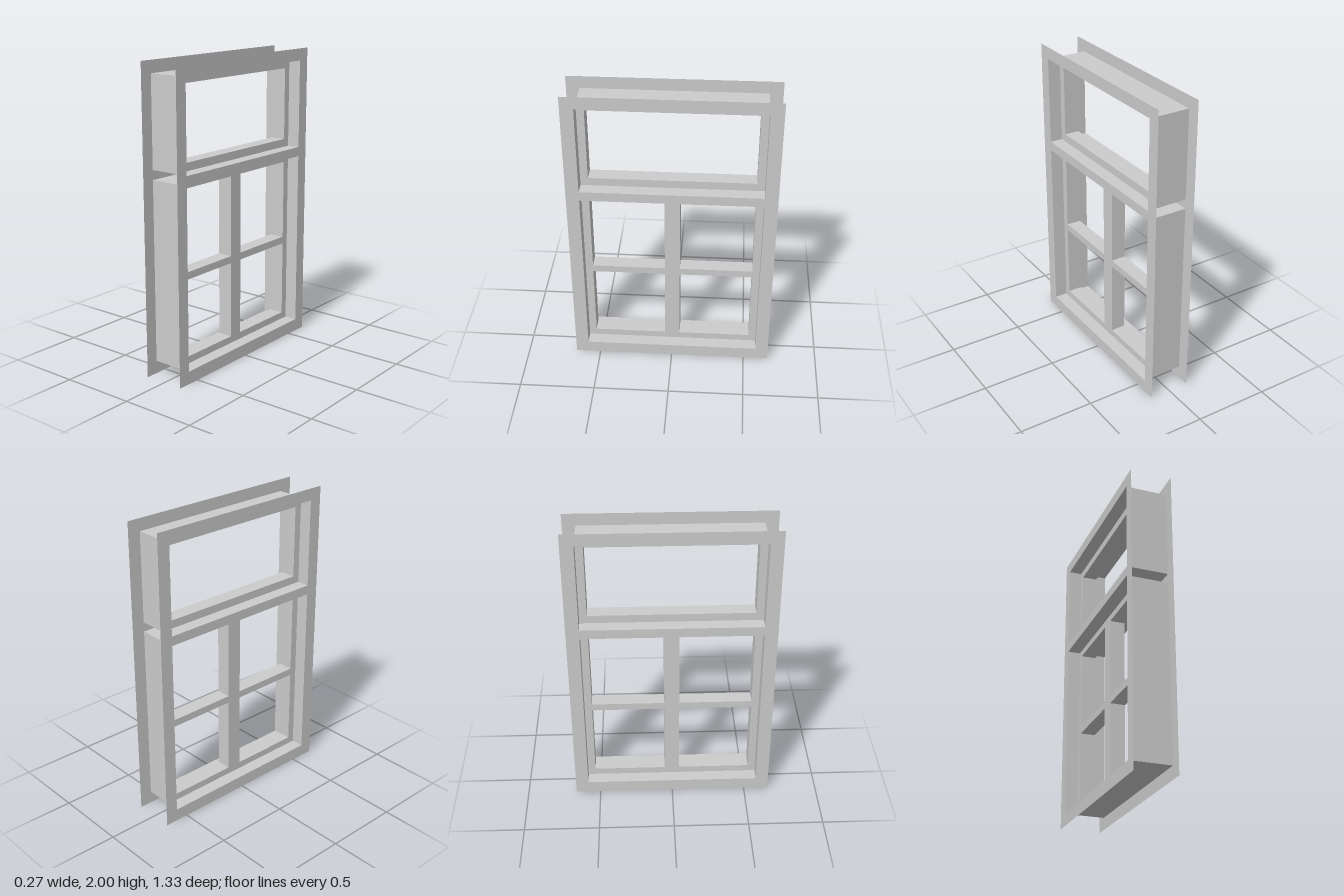
import * as THREE from 'three';

const grey = new THREE.MeshStandardMaterial({ color: 0xcccccc, flatShading: true, side: THREE.DoubleSide });

const DEPTH = 0.273;      // wall depth between the two casings
const SASH_DEPTH = 0.1;   // sash bars, centred in the wall
const HALF = 0.582;       // half width of the openings
const PANE = 0.533;       // half width of the glazed area
const BAR = 0.05;         // half width of the vertical bar

// rectangles are [left, bottom, right, top]
const upper = {
  name: 'upper',
  opening: [-HALF, 1.333, HALF, 1.92],
  panes: [[-PANE, 1.386, PANE, 1.867]],
};
const lower = { name: 'lower', opening: [-HALF, 0.084, HALF, 1.27], panes: [] };
for (const [bottom, top] of [[0.131, 0.644], [0.692, 1.227]]) {
  lower.panes.push([-PANE, bottom, -BAR, top], [BAR, bottom, PANE, top]);
}

function trace(path, [l, b, r, t]) {
  path.moveTo(l, b).lineTo(r, b).lineTo(r, t).lineTo(l, t).closePath();
  return path;
}

function frameShape(outer, holes) {
  const shape = trace(new THREE.Shape(), outer);
  shape.holes = holes.map((h) => trace(new THREE.Path(), h));
  return shape;
}

function addMesh(parent, name, geometry) {
  const mesh = new THREE.Mesh(geometry, grey);
  mesh.name = name;
  parent.add(mesh);
  return mesh;
}

// four thin walls lining an opening
function makeLining(name, [l, b, r, t]) {
  const lining = new THREE.Group();
  lining.name = name;
  for (const [side, y] of [['bottom', b], ['top', t]]) {
    const geometry = new THREE.PlaneGeometry(r - l, DEPTH).rotateX(-Math.PI / 2);
    addMesh(lining, side + 'Lining', geometry).position.set((l + r) / 2, y, 0);
  }
  for (const [side, x] of [['near', l], ['far', r]]) {
    const geometry = new THREE.PlaneGeometry(DEPTH, t - b).rotateY(Math.PI / 2);
    addMesh(lining, side + 'Lining', geometry).position.set(x, (b + t) / 2, 0);
  }
  return lining;
}

export function createModel() {
  const model = new THREE.Group();
  model.name = 'window';

  // built facing z, then turned so the window lies across the z axis
  const frame = new THREE.Group();
  frame.name = 'windowFrame';
  frame.rotation.y = Math.PI / 2;
  model.add(frame);

  // flat casings on both faces of the wall
  const casing = frameShape([-0.667, 0, 0.667, 2], [upper.opening, lower.opening]);
  for (const side of [1, -1]) {
    const geometry = new THREE.ShapeGeometry(casing);
    if (side < 0) geometry.rotateY(Math.PI);
    addMesh(frame, side > 0 ? 'outerCasing' : 'innerCasing', geometry).position.z = side * DEPTH / 2;
  }

  // lining and sash for each opening
  for (const { name, opening, panes } of [upper, lower]) {
    frame.add(makeLining(name + 'Lining', opening));
    const sash = new THREE.ExtrudeGeometry(frameShape(opening, panes), { depth: SASH_DEPTH, bevelEnabled: false });
    addMesh(frame, name + 'Sash', sash).position.z = -SASH_DEPTH / 2;
  }
  return model;
}
